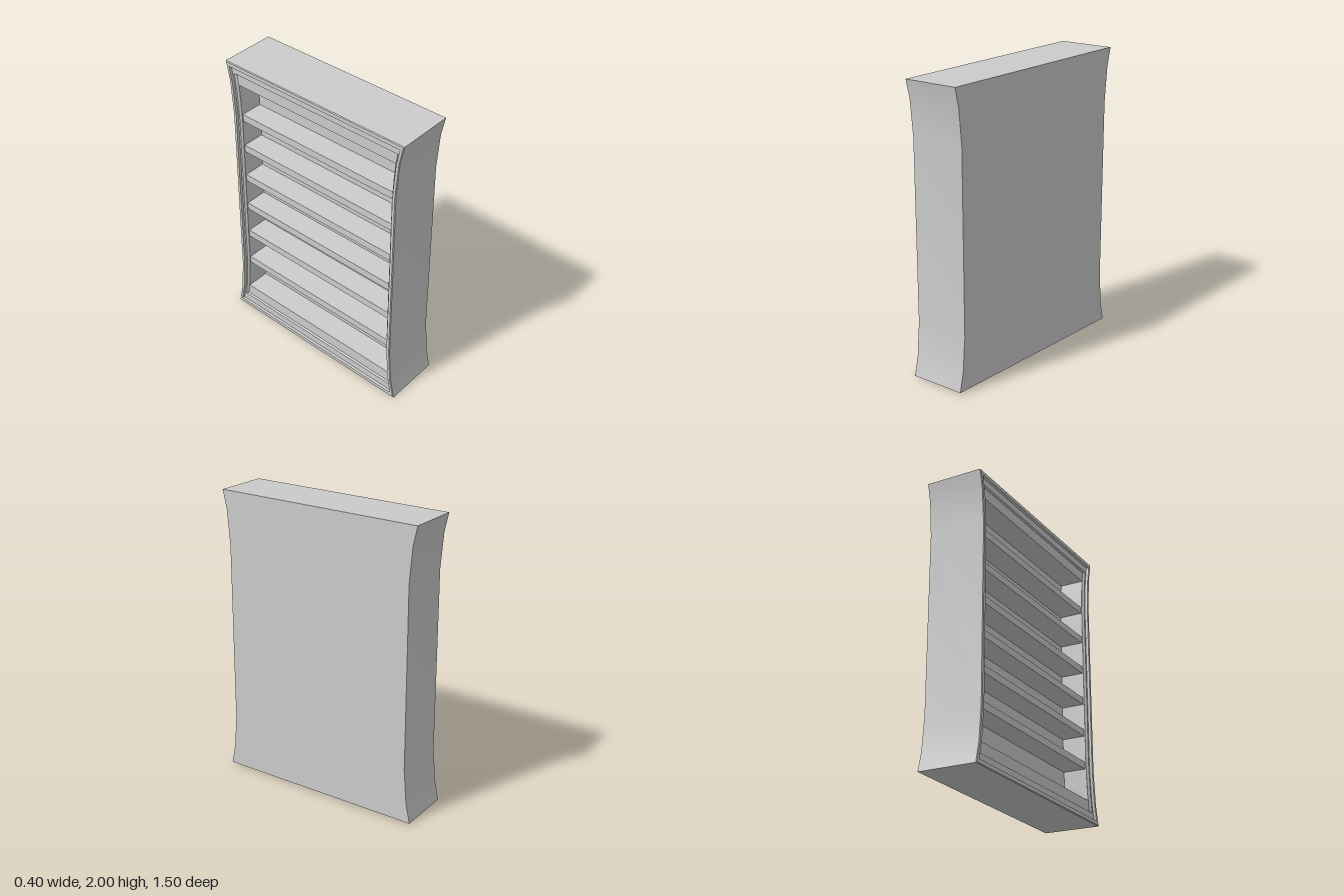
import * as THREE from 'three';
import { toCreasedNormals } from 'three/addons/utils/BufferGeometryUtils.js';

const H = 1.99;
// side outline: [height, half width], narrow in the middle and flared at both ends
const OUTLINE = [[0, 0.741], [0.13, 0.712], [0.37, 0.692], [1.62, 0.692], [1.86, 0.712], [H, 0.741]];

function halfWidth(y) {
  for (let i = 1; i < OUTLINE.length; i++) {
    const [y0, w0] = OUTLINE[i - 1], [y1, w1] = OUTLINE[i];
    if (y <= y1) return w0 + (w1 - w0) * (y - y0) / (y1 - y0);
  }
  return OUTLINE[OUTLINE.length - 1][1];
}

// slight lean shared by every part
function lean(geometry) {
  const p = geometry.attributes.position;
  for (let i = 0; i < p.count; i++) {
    const x = p.getX(i);
    p.setY(i, p.getY(i) + 0.025 * (x + 0.2));
    p.setZ(i, p.getZ(i) - 0.0445 * x);
  }
  return geometry;
}

// one closed outline at depth x, inset by dz at the sides and dy at top and bottom
function loop([x, dz, dy]) {
  const side = OUTLINE.map(([h]) => {
    const y = dy + (H - 2 * dy) * h / H;
    return [x, y, halfWidth(y) - dz];
  });
  return [...side, ...side.map(([a, y, z]) => [a, y, -z]).reverse()];
}

function caseGeometry() {
  // back edge, outer wall, chamfered lip, two steps inward, cavity floor
  const loops = [
    [0.2, 0, 0], [-0.195, 0, 0], [-0.2, 0.005, 0.005],
    [-0.2, 0.024, 0.03], [-0.182, 0.026, 0.032],
    [-0.182, 0.038, 0.08], [-0.168, 0.05, 0.085],
    [-0.168, 0.051, 0.162], [0, 0.051, 0.162],
  ].map(loop);
  const pos = [];
  const quad = (a, b, c, d) => pos.push(...a, ...b, ...c, ...a, ...c, ...d);
  const n = loops[0].length;
  for (let k = 0; k + 1 < loops.length; k++) {
    for (let i = 0; i < n; i++) {
      const j = (i + 1) % n;
      quad(loops[k][i], loops[k][j], loops[k + 1][j], loops[k + 1][i]);
    }
  }
  // closed back and cavity floor, row by row
  const back = loops[0], floor = loops[loops.length - 1];
  for (let i = 0; i + 1 < OUTLINE.length; i++) {
    const m = n - 1 - i;
    quad(back[i], back[m], back[m - 1], back[i + 1]);
    quad(floor[i], floor[i + 1], floor[m - 1], floor[m]);
  }
  const g = new THREE.BufferGeometry();
  g.setAttribute('position', new THREE.Float32BufferAttribute(pos, 3));
  return toCreasedNormals(lean(g), Math.PI / 9);
}

export function createModel() {
  const model = new THREE.Group();
  model.name = 'shelfCabinet';
  const material = new THREE.MeshStandardMaterial({ color: 0xcccccc });
  const add = (name, geometry) => {
    const mesh = new THREE.Mesh(geometry, material);
    mesh.name = name;
    model.add(mesh);
  };

  add('cabinetCase', caseGeometry());

  // six evenly spaced shelves
  for (let i = 0; i < 6; i++) {
    const g = new THREE.BoxGeometry(0.162, 0.05, 1.29);
    g.translate(-0.079, 0.405 + i * 0.236, 0);
    lean(g).computeVertexNormals();
    add('shelf' + (i + 1), g);
  }
  return model;
}
